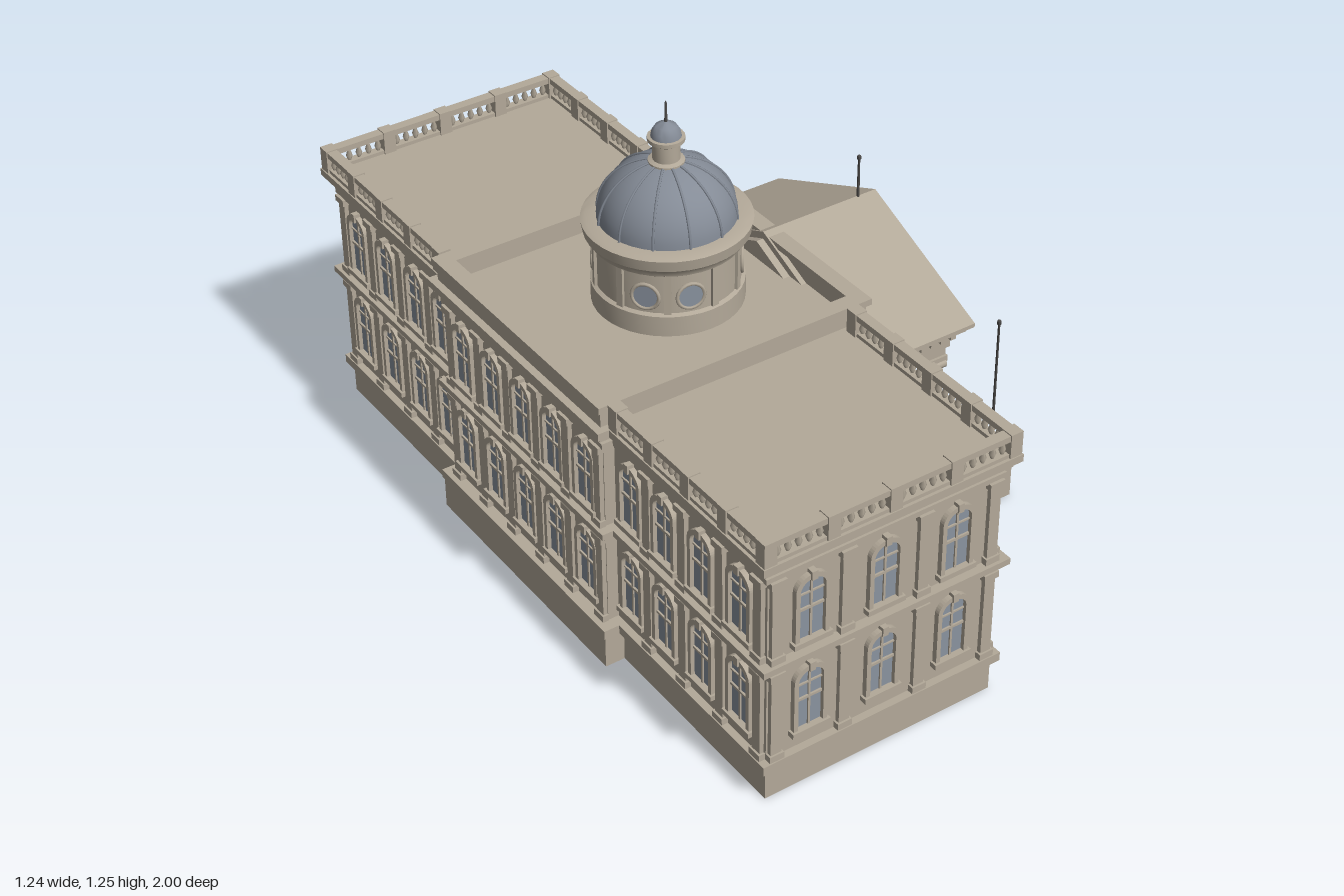
import * as THREE from 'three';
import { mergeGeometries, toCreasedNormals } from 'three/addons/utils/BufferGeometryUtils.js';

const material = (name, color) => {
  const m = new THREE.MeshStandardMaterial({ color });
  m.name = name;
  return m;
};

export function createModel() {
  const stone = material('stone', 0xb3a999);
  const glass = material('window glass', 0x8a939f);
  const slate = material('dome slate', 0x848b96);
  const iron = material('dark iron', 0x4c4a48);
  const model = new THREE.Group();
  model.name = 'domedHall';

  const add = (name, geo, mat = stone, parent = model) => {
    const mesh = new THREE.Mesh(geo, mat);
    mesh.name = name;
    parent.add(mesh);
    return mesh;
  };
  // Box given by its limits on each axis
  const box = (x0, x1, y0, y1, z0, z1) =>
    new THREE.BoxGeometry(x1 - x0, y1 - y0, z1 - z0).translate((x0 + x1) / 2, (y0 + y1) / 2, (z0 + z1) / 2);
  const lathe = (points, n = 24) =>
    toCreasedNormals(new THREE.LatheGeometry(points.map(p => new THREE.Vector2(...p)), n), 0.6);
  // Stack of boxes around a footprint; each layer is [bottom, top, overhang]
  const stack = ([x0, x1, z], layers) =>
    mergeGeometries(layers.map(([y0, y1, o]) => box(x0 - o, x1 + o, y0, y1, -z - o, z + o)));

  // Wings and central block with plinth, belt course and cornice
  const WING = [-0.555, 0.095, 0.965], CENTRE = [-0.585, 0.145, 0.355];
  const courses = [
    [0.09, 0.115, 0.02], [0.115, 0.68, 0], [0.372, 0.388, 0.012], [0.388, 0.405, 0.026],
    [0.64, 0.655, 0.01], [0.672, 0.69, 0.02], [0.69, 0.71, 0.035],
  ];
  add('wings', stack(WING, [[0, 0.09, 0.004], ...courses]));
  add('centralBlock', stack(CENTRE, [[0, 0.09, 0.028], ...courses.map(([a, b, o]) => [a, b, o + (a < 0.1 ? 0.012 : 0)])]));

  // Solid parapet round the central roof
  const [cx0, cx1, cz] = CENTRE, px0 = cx0 - 0.015, px1 = cx1 + 0.015, pz = cz + 0.015;
  const parapet = [];
  for (const [y0, y1, o, t] of [[0.705, 0.755, 0, 0.025], [0.755, 0.772, 0.01, 0.045]]) {
    for (const s of [-1, 1]) {
      const a = s * (pz + o), b = a - s * t;
      parapet.push(box(px0 - o, px1 + o, y0, y1, Math.min(a, b), Math.max(a, b)));
    }
    parapet.push(box(px0 - o, px0 - o + t, y0, y1, -pz, pz), box(px1 + o - t, px1 + o, y0, y1, -pz, pz));
  }
  add('centralParapet', mergeGeometries(parapet));

  // Balustrades round the wing roofs
  const rails = [];
  const baluster = new THREE.LatheGeometry([[0.004, 0], [0.009, 0.014], [0.004, 0.03], [0.007, 0.038]]
    .map(p => new THREE.Vector2(...p)), 6);
  const balustrade = (xa, za, xb, zb, bays) => {
    for (const [y0, y1, t] of [[0.708, 0.72, 0.012], [0.756, 0.772, 0.014]])
      rails.push(box(Math.min(xa, xb) - t, Math.max(xa, xb) + t, y0, y1, Math.min(za, zb) - t, Math.max(za, zb) + t));
    const n = bays * 6;
    for (let i = 0; i <= n; i++) {
      const x = xa + (xb - xa) * i / n, z = za + (zb - za) * i / n;
      rails.push(i % 6 ? baluster.clone().translate(x, 0.719, z)
        : box(x - 0.017, x + 0.017, 0.708, 0.775, z - 0.017, z + 0.017));
    }
  };
  for (const s of [-1, 1]) {
    balustrade(-0.57, s * 0.98, 0.11, s * 0.98, 4);
    balustrade(-0.57, s * 0.4, -0.57, s * 0.98, 4);
    balustrade(0.11, s * 0.4, 0.11, s * 0.98, 4);
  }
  add('roofBalustrades', mergeGeometries(rails));

  // Arched openings: local +z faces out of the wall
  const arch = (w, h, y = 0) => {
    const s = new THREE.Shape(), rise = w * 0.42;
    s.moveTo(-w / 2, y);
    s.lineTo(w / 2, y);
    s.lineTo(w / 2, h - rise);
    s.absellipse(0, h - rise, w / 2, rise, 0, Math.PI, false);
    s.closePath();
    return s;
  };
  const makeOpening = (w, h, isDoor) => {
    const outer = arch(w + 0.024, h + 0.013, -0.004);
    outer.holes.push(arch(w, h));
    const frame = new THREE.ExtrudeGeometry(outer, { depth: 0.014, bevelEnabled: false, curveSegments: 10 }).toNonIndexed();
    const b = (...v) => box(...v).toNonIndexed();
    const bars = [b(-0.003, 0.003, 0, h, 0, 0.007), b(-w / 2, w / 2, h * 0.48, h * 0.52, 0, 0.008),
      b(-w / 2, w / 2, h * 0.74, h * 0.765, 0, 0.007)];
    if (isDoor) bars.push(b(-w / 2, -0.006, 0, h * 0.74, 0, 0.005), b(0.006, w / 2, 0, h * 0.74, 0, 0.005));
    else bars.push(b(-w / 2 - 0.018, w / 2 + 0.018, -0.014, 0, 0, 0.02));
    bars.push(b(-0.008, 0.008, h - 0.002, h + 0.022, 0, 0.019));
    return { frame: mergeGeometries([frame, ...bars]), pane: new THREE.ShapeGeometry(arch(w, h), 10).translate(0, 0, 0.003) };
  };
  const windowParts = makeOpening(0.07, 0.17), doorParts = makeOpening(0.085, 0.225, true);
  const opening = (parts, name, x, y, z, turn) => {
    const g = new THREE.Group();
    g.name = name;
    add(name + 'Frame', parts.frame, stone, g);
    add(name + 'Pane', parts.pane, glass, g);
    g.position.set(x, y, z);
    g.rotation.y = turn;
    model.add(g);
  };
  const FLOORS = [0.172, 0.436];
  const windowPair = (x, z, turn) => FLOORS.forEach(y => opening(windowParts, 'window', x, y, z, turn));

  // Pilasters on both storeys
  const pilasterGeo = mergeGeometries([[0.115, 0.374], [0.405, 0.642]].flatMap(([a, b]) => [
    box(-0.015, 0.015, a, b, 0, 0.012), box(-0.02, 0.02, a, a + 0.018, 0, 0.017), box(-0.021, 0.021, b - 0.018, b, 0, 0.018)]));
  const pilaster = (x, z, turn) => {
    const p = add('pilaster', pilasterGeo);
    p.position.set(x, 0, z);
    p.rotation.y = turn;
  };
  const Q = Math.PI / 2;
  for (const s of [-1, 1]) {
    const turn = s > 0 ? 0 : Math.PI;
    for (const x of [-0.44, -0.235, -0.03]) windowPair(x, s * WING[2], turn);
    for (const x of [-0.535, -0.343, -0.127, 0.075]) pilaster(x, s * WING[2], turn);
    for (const [x, t] of [[WING[0], -Q], [WING[1], Q]]) {
      for (const z of [0.87, 0.72, 0.57, 0.43]) windowPair(x, s * z, t);
      for (const z of [0.942, 0.795, 0.645, 0.5]) pilaster(x, s * z, t);
    }
    opening(windowParts, 'porchWindow', cx1, 0.172, s * 0.15, Q);
  }
  for (let i = -2; i <= 2; i++) windowPair(cx0, i * 0.14, -Q);
  for (let i = -2.5; i <= 2.5; i++) pilaster(cx0, i * 0.135, -Q);
  opening(doorParts, 'door', cx1, 0.115, 0, Q);

  // Porch floor, stairs and side walls
  add('porchFloor', box(0.12, 0.47, 0, 0.112, -0.36, 0.36));
  for (let i = 0; i < 4; i++)
    add('stairStep', box(0.46, 0.505 + i * 0.034, 0, 0.09 - i * 0.022, -0.36, 0.36));
  for (const s of [-1, 1]) {
    add('stairSideWall', box(0.1, 0.62, 0, 0.112, -0.0375, 0.0375)).position.z = s * 0.384;
    const pole = add('flagpole', lathe([[0.012, 0.11], [0.012, 0.122], [0.004, 0.128], [0.003, 0.535], [0.006, 0.54], [0.005, 0.55], [0, 0.554]], 8), iron);
    pole.position.set(0.577, 0, s * 0.385);
  }

  // Porch columns with scrolled capitals
  const scroll = new THREE.CylinderGeometry(0.013, 0.013, 0.05, 10).rotateZ(Q);
  const column = mergeGeometries([
    lathe([[0.031, 0.125], [0.031, 0.133], [0.025, 0.14], [0.023, 0.15], [0.022, 0.28], [0.0185, 0.47], [0.024, 0.476], [0.024, 0.485]], 16),
    box(-0.032, 0.032, 0.11, 0.126, -0.032, 0.032).toNonIndexed(),
    box(-0.03, 0.03, 0.486, 0.503, -0.03, 0.03).toNonIndexed(),
    ...[-1, 1].map(s => scroll.clone().translate(0, 0.48, s * 0.023).toNonIndexed()),
  ]);
  const spots = [0.347, 0.22, 0.073].map(z => [0.39, z]).concat([[0.285, 0.347], [0.178, 0.347]]);
  for (const [x, z] of spots) for (const s of [-1, 1]) add('porchColumn', column).position.set(x, 0, s * z);

  // Entablature with dentils
  add('entablature', mergeGeometries([[0.5, 0.528, 0], [0.528, 0.556, 0.007], [0.556, 0.578, 0.012], [0.578, 0.6, 0.034]]
    .map(([a, b, o]) => box(0.1, 0.418 + o, a, b, -0.37 - o, 0.37 + o))));
  const dentils = [];
  for (let i = -12; i <= 12; i++) dentils.push(box(0.425, 0.445, 0.56, 0.579, i * 0.031 - 0.008, i * 0.031 + 0.008));
  for (let i = 0; i < 8; i++) for (const s of [-1, 1]) {
    const x = 0.195 + i * 0.031;
    dentils.push(box(x, x + 0.016, 0.56, 0.579, s * 0.385 - 0.01, s * 0.385 + 0.01));
  }

  // Pediment and its gabled roof, drawn in z and y and pushed along x
  const prism = (pts, x0, x1) => new THREE.ExtrudeGeometry(new THREE.Shape(pts.map(p => new THREE.Vector2(...p))),
    { depth: x1 - x0, bevelEnabled: false }).rotateY(Q).translate(x0, 0, 0);
  add('pediment', prism([[-0.37, 0.598], [0.37, 0.598], [0, 0.76]], 0.1, 0.425));
  add('porchRoof', prism([[-0.415, 0.59], [-0.37, 0.59], [0, 0.745], [0.37, 0.59], [0.415, 0.59], [0.415, 0.601], [0, 0.78], [-0.415, 0.601]], 0.12, 0.47));
  for (let i = 1; i < 12; i++) for (const s of [-1, 1]) {
    const z = i * 0.029, y = 0.745 - z * 0.419;
    dentils.push(box(0.42, 0.45, y - 0.016, y + 0.006, s * z - 0.008, s * z + 0.008));
  }
  add('dentils', mergeGeometries(dentils));
  add('gablePole', lathe([[0.004, 0.77], [0.003, 0.885], [0.006, 0.89], [0.005, 0.898], [0, 0.902]], 8), iron).position.x = 0.415;

  // Drum, dome and lantern
  const tower = new THREE.Group();
  tower.name = 'domeTower';
  tower.position.x = -0.165;
  model.add(tower);
  add('drum', lathe([[0.19, 0.7], [0.19, 0.765], [0.18, 0.77], [0.18, 0.875], [0.19, 0.882], [0.194, 0.895], [0.205, 0.905],
    [0.21, 0.935], [0.198, 0.94], [0.17, 0.942]], 40), stone, tower);
  const domePoint = (a, r) => new THREE.Vector2(r * Math.cos(a), 0.936 + r * 0.91 * Math.sin(a));
  const steps = [...Array(13).keys()].map(i => i / 12 * Q);
  add('dome', new THREE.LatheGeometry(steps.map(a => domePoint(a, 0.172)), 40), slate, tower);
  const ribPath = new THREE.CatmullRomCurve3(steps.slice(0, 11).map(a => {
    const p = domePoint(a, 0.173);
    return new THREE.Vector3(p.x, p.y, 0);
  }));
  const ribGeo = new THREE.TubeGeometry(ribPath, 14, 0.0035, 5);
  for (let i = 0; i < 12; i++) add('domeRib', ribGeo, slate, tower).rotation.y = (i + 0.5) * Math.PI / 6;
  add('lantern', lathe([[0.045, 1.08], [0.045, 1.092], [0.034, 1.096], [0.034, 1.138], [0.046, 1.146], [0.046, 1.156], [0.036, 1.157]], 20), stone, tower);
  add('lanternCap', lathe([[0.038, 1.155], [0.035, 1.17], [0.026, 1.184], [0.012, 1.191], [0.004, 1.195]], 20), slate, tower);
  add('spire', lathe([[0.004, 1.19], [0.003, 1.245], [0, 1.252]], 8), iron, tower);

  // Round drum windows and upright strips between them
  const rimGeo = new THREE.TorusGeometry(0.034, 0.005, 6, 20), discGeo = new THREE.CircleGeometry(0.033, 20);
  const around = (name, geo, mat, degrees, r, y) => {
    const a = degrees * Math.PI / 180, m = add(name, geo, mat, tower);
    m.position.set(r * Math.cos(a), y, -r * Math.sin(a));
    m.rotation.y = a + Q;
  };
  const stripGeo = new THREE.BoxGeometry(0.018, 0.11, 0.012);
  for (const s of [-1, 1]) {
    for (const d of [36, 106, 141]) {
      around('roundWindowRim', rimGeo, stone, s * d, 0.181, 0.815);
      around('roundWindowPane', discGeo, glass, s * d, 0.182, 0.815);
    }
    for (const d of [15, 57, 86, 124, 162]) around('drumStrip', stripGeo, stone, s * d, 0.181, 0.825);
  }
  return model;
}
